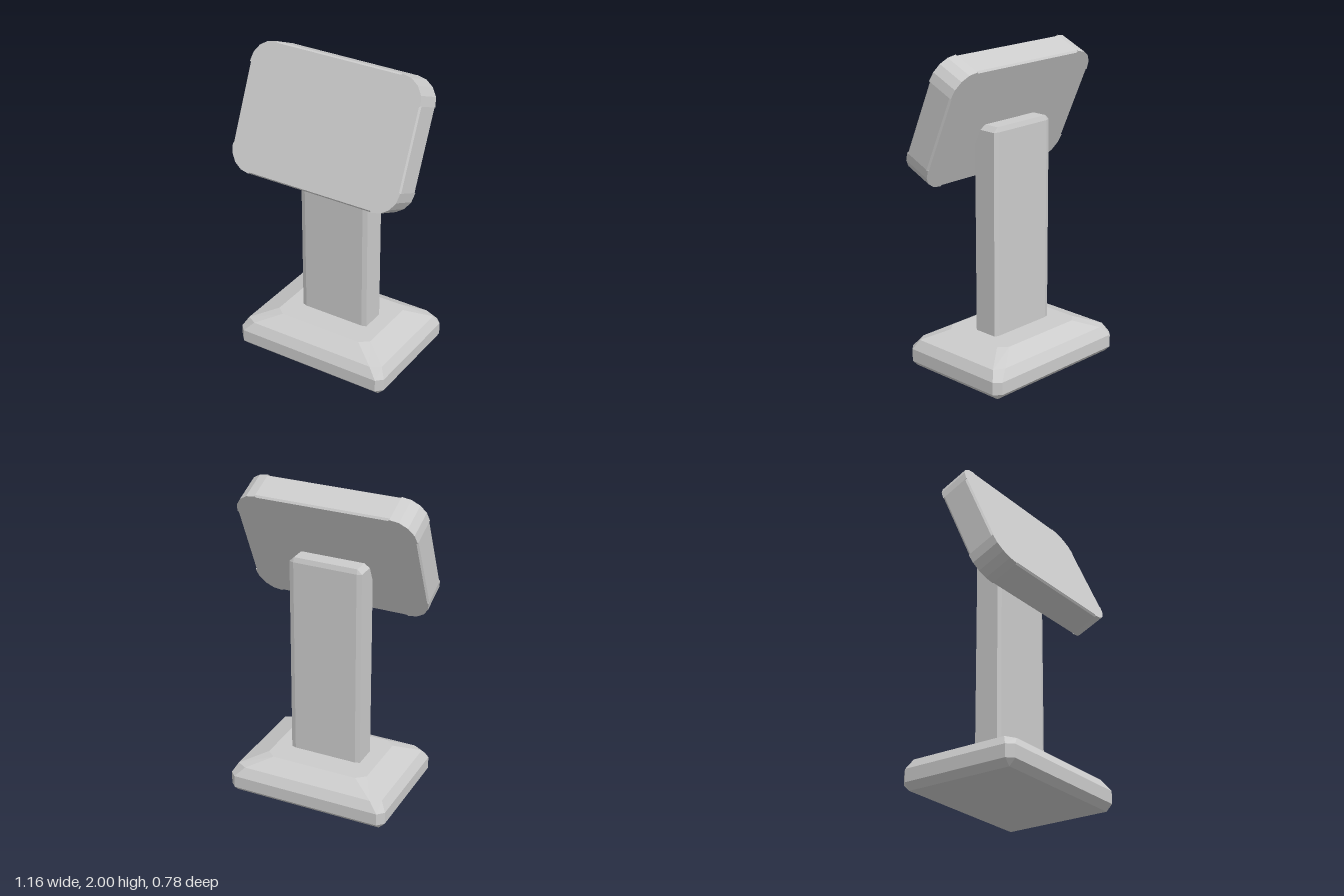
import * as THREE from 'three';

// Flat-shaded loft along +z through rings of [x, y] points, closed at both ends
function loft(sections) {
  const rings = sections.map(s => s.ring.map(p => new THREE.Vector3(p[0], p[1], s.at)));
  const n = rings[0].length, pos = [];
  const tri = (a, b, c) => {
    const area = b.clone().sub(a).cross(c.clone().sub(a)).length();
    if (area > 1e-9) [a, b, c].forEach(v => pos.push(v.x, v.y, v.z));
  };
  const last = rings.length - 1;
  const low = new THREE.Vector3(0, 0, sections[0].at);
  const high = new THREE.Vector3(0, 0, sections[last].at);
  for (let i = 0; i < n; i++) {
    const j = (i + 1) % n;
    for (let k = 0; k < last; k++) {
      tri(rings[k][i], rings[k][j], rings[k + 1][j]);
      tri(rings[k][i], rings[k + 1][j], rings[k + 1][i]);
    }
    tri(low, rings[0][j], rings[0][i]);
    tri(high, rings[last][i], rings[last][j]);
  }
  const g = new THREE.BufferGeometry();
  g.setAttribute('position', new THREE.Float32BufferAttribute(pos, 3));
  g.computeVertexNormals();
  return g;
}

// Rectangle of half sizes w, d with corners cut by cx and cy, counter-clockwise
function cutRect(w, d, cx, cy) {
  return [[w, -d + cy], [w, d - cy], [w - cx, d], [-w + cx, d],
    [-w, d - cy], [-w, -d + cy], [-w + cx, -d], [w - cx, -d]];
}

// Rounded rectangle whose straight runs are set in by `inset`
function roundedRing(w, h, r, inset) {
  const ring = [], steps = 4;
  [[1, 1], [-1, 1], [-1, -1], [1, -1]].forEach(([sx, sy], q) => {
    const cx = sx * (w - r), cy = sy * (h - r);
    const at = (a, rad) => [cx + rad * Math.cos(a), cy + rad * Math.sin(a)];
    const start = q * Math.PI / 2;
    ring.push(at(start, r - inset));
    for (let i = 0; i <= steps; i++) ring.push(at(start + i / steps * Math.PI / 2, r));
    ring.push(at(start + Math.PI / 2, r - inset));
  });
  return ring;
}

export function createModel() {
  const group = new THREE.Group();
  const material = new THREE.MeshStandardMaterial({ color: 0xcccccc, flatShading: true });
  const add = (name, geometry) => {
    const mesh = new THREE.Mesh(geometry, material);
    mesh.name = name;
    group.add(mesh);
    return mesh;
  };

  // Bevelled foot
  add('base', loft([
    { at: 0, ring: cutRect(0.49, 0.35, 0, 0) },
    { at: 0.04, ring: cutRect(0.53, 0.39, 0.04, 0.04) },
    { at: 0.12, ring: cutRect(0.53, 0.39, 0.04, 0.04) },
    { at: 0.18, ring: cutRect(0.495, 0.355, 0.065, 0.037) },
    { at: 0.24, ring: cutRect(0.34, 0.247, 0.057, 0.047) },
  ]).rotateX(-Math.PI / 2));

  // Upright slab with chamfered edges
  add('post', loft([
    { at: 0.2, ring: cutRect(0.237, 0.088, 0.03, 0.01) },
    { at: 1.525, ring: cutRect(0.237, 0.088, 0.03, 0.01) },
    { at: 1.555, ring: cutRect(0.207, 0.078, 0, 0) },
  ]).rotateX(-Math.PI / 2));

  // Tilted rounded panel, its straight edges lightly bevelled
  const plain = roundedRing(0.58, 0.402, 0.152, 0);
  const bevelled = roundedRing(0.58, 0.402, 0.152, 0.009);
  const head = add('head', loft([
    { at: -0.096, ring: bevelled },
    { at: -0.084, ring: plain },
    { at: 0.084, ring: plain },
    { at: 0.096, ring: bevelled },
  ]));
  head.position.set(0, 1.594, 0.108);
  head.rotation.x = -THREE.MathUtils.degToRad(23.8);

  return group;
}
